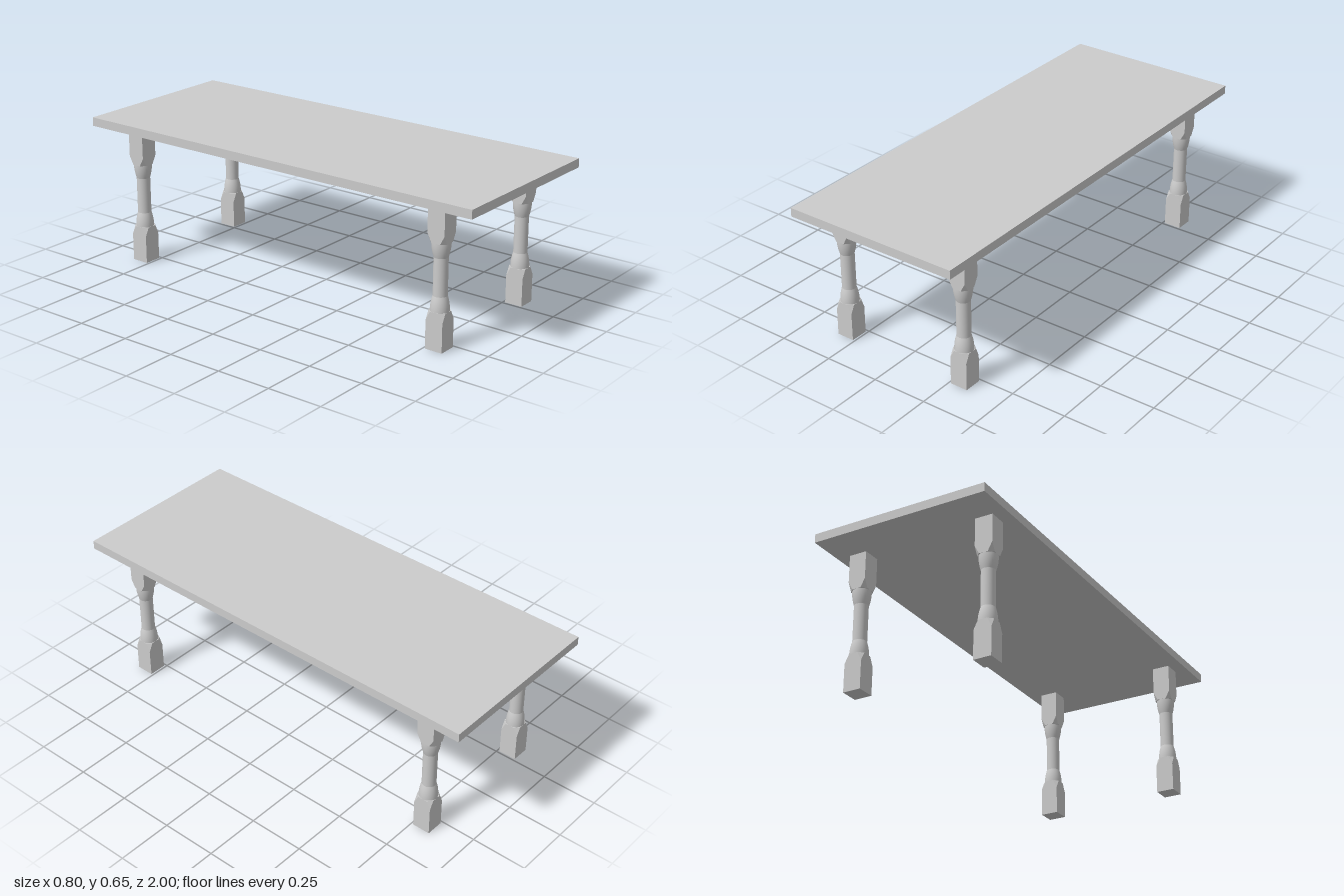
import * as THREE from 'three';
import { ConvexGeometry } from 'three/addons/geometries/ConvexGeometry.js';

const material = new THREE.MeshStandardMaterial({ color: 0xcccccc });
const HALF = 0.04; // half width of the square leg blocks
const SHAFT = 0.03; // radius of the turned shaft

function part(name, geometry, parent) {
  const mesh = new THREE.Mesh(geometry, material);
  mesh.name = name;
  parent.add(mesh);
  return mesh;
}

// Square block whose four corners are cut away towards its inner end
function blockGeometry(outerY, chamferY, innerY) {
  const points = [];
  for (const sx of [-1, 1]) {
    for (const sz of [-1, 1]) {
      points.push(
        new THREE.Vector3(sx * HALF, outerY, sz * HALF),
        new THREE.Vector3(sx * HALF, chamferY, sz * HALF),
        new THREE.Vector3(sx * HALF, innerY, sz * HALF / 2),
        new THREE.Vector3(sx * HALF / 2, innerY, sz * HALF)
      );
    }
  }
  return new ConvexGeometry(points);
}

// Rounded flare between the shaft and a block
function flareGeometry(shaftY, blockY) {
  const profile = [];
  for (let i = 0; i <= 8; i++) {
    const t = i / 8;
    const radius = SHAFT + (HALF - SHAFT) * (1 - (1 - t) ** 2);
    profile.push(new THREE.Vector2(radius, THREE.MathUtils.lerp(shaftY, blockY, t)));
  }
  // Profiles run upwards so the surface faces outwards
  if (blockY < shaftY) profile.reverse();
  return new THREE.LatheGeometry(profile, 32);
}

function createLeg() {
  const leg = new THREE.Group();
  part('footBlock', blockGeometry(0, 0.125, 0.164), leg);
  part('lowerFlare', flareGeometry(0.228, 0.164), leg);
  part('shaft', new THREE.CylinderGeometry(SHAFT, SHAFT, 0.162, 32, 1, true), leg).position.y = 0.309;
  part('upperFlare', flareGeometry(0.39, 0.454), leg);
  part('topBlock', blockGeometry(0.615, 0.492, 0.454), leg);
  return leg;
}

export function createModel() {
  const table = new THREE.Group();
  table.name = 'table';

  part('tabletop', new THREE.BoxGeometry(0.8, 0.039, 2), table).position.y = 0.6345;

  // Four turned legs
  for (const [side, x] of [['Left', 0.3], ['Right', -0.3]]) {
    for (const [end, z] of [['front', 0.8], ['back', -0.8]]) {
      const leg = createLeg();
      leg.name = `${end}${side}Leg`;
      leg.position.set(x, 0, z);
      table.add(leg);
    }
  }
  return table;
}
